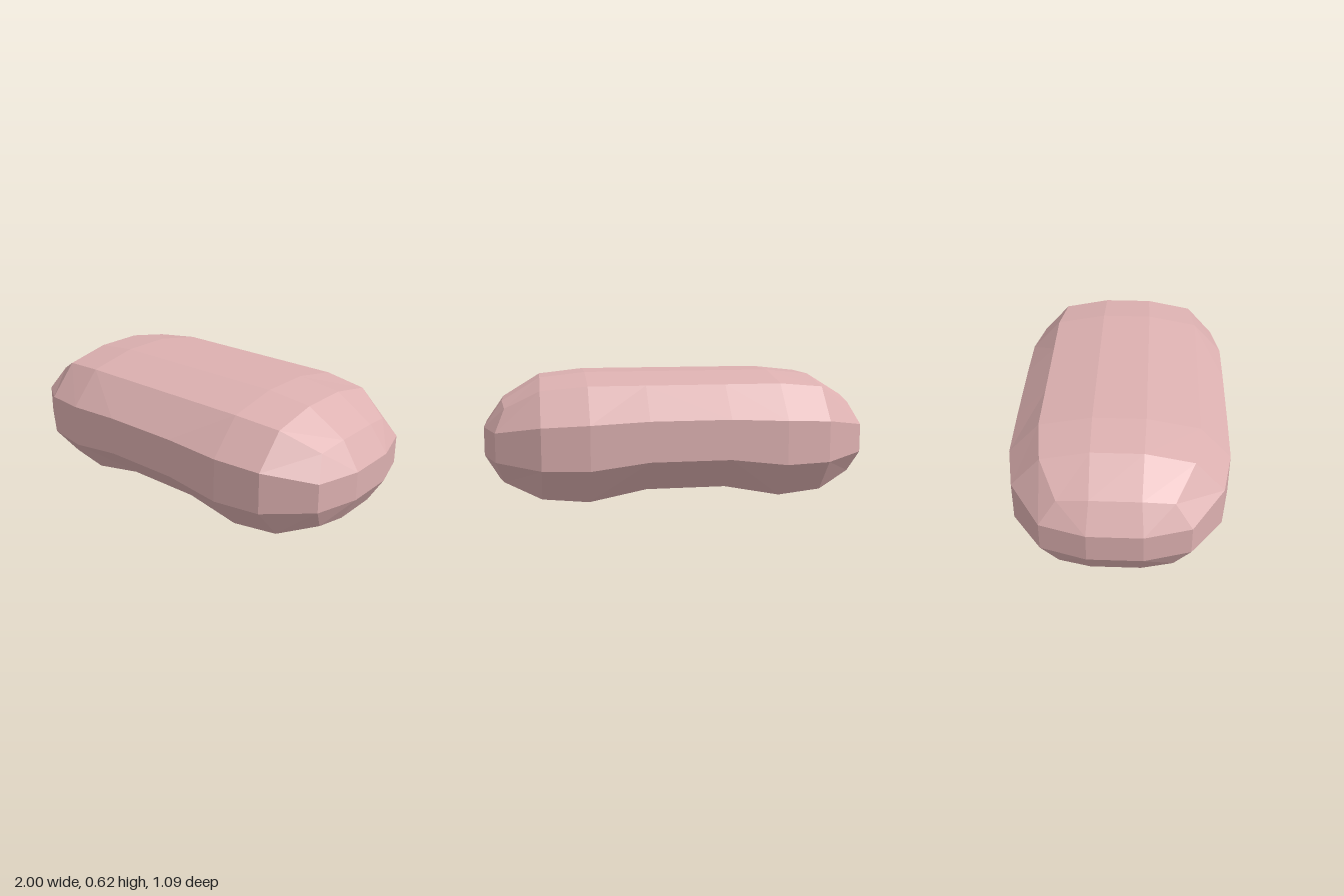
import * as THREE from 'three';

// Half cross-sections from the middle outwards; each lists [x, y, z] from
// crown, shoulder, upper side, lower side, lower edge to underside.
const SECTIONS = [
  [[0.2, 0.625, 0.13], [0.2, 0.575, 0.39], [0.2, 0.418, 0.545], [0.2, 0.22, 0.545], [0.2, 0.055, 0.39], [0.2, 0.055, 0.13]],
  [[0.485, 0.625, 0.13], [0.485, 0.575, 0.39], [0.485, 0.405, 0.545], [0.485, 0.185, 0.545], [0.485, 0, 0.39], [0.485, 0, 0.13]],
  [[0.715, 0.6, 0.125], [0.715, 0.553, 0.36], [0.715, 0.392, 0.503], [0.715, 0.185, 0.503], [0.715, 0.016, 0.36], [0.715, 0.016, 0.125]],
  [[0.908, 0.482, 0.12], [0.89, 0.46, 0.27], [0.935, 0.35, 0.35], [0.935, 0.205, 0.35], [0.9, 0.09, 0.27], [0.925, 0.078, 0.12]],
  // End face: the ring narrows to four corners
  [[1, 0.35, 0.13], [1, 0.35, 0.13], [1, 0.35, 0.13], [1, 0.205, 0.13], [1, 0.205, 0.13], [1, 0.205, 0.13]],
];

// Full closed ring on the left (+1) or right (-1) side
function ring(section, side) {
  const front = section.map(([x, y, z]) => new THREE.Vector3(x * side, y, z));
  const back = section.map(([x, y, z]) => new THREE.Vector3(x * side, y, -z)).reverse();
  return [...front, ...back];
}

function loft(rings) {
  const positions = [];
  const triangle = (a, b, c) => {
    if (a.equals(b) || b.equals(c) || c.equals(a)) return; // collapsed corner
    for (const p of [a, b, c]) positions.push(p.x, p.y, p.z);
  };
  const quad = (a, b, c, d) => {
    triangle(a, b, c);
    triangle(a, c, d);
  };

  // Skin between neighbouring rings
  for (let s = 0; s < rings.length - 1; s++) {
    const r = rings[s], next = rings[s + 1], n = r.length;
    for (let i = 0; i < n; i++) {
      const j = (i + 1) % n;
      // Mirror the diagonal so both ends match
      if (s < rings.length / 2) quad(r[i], r[j], next[j], next[i]);
      else quad(r[j], next[j], next[i], r[i]);
    }
  }

  // Flat end faces
  const first = rings[0], last = rings[rings.length - 1];
  quad(last[0], last[5], last[6], last[11]);
  quad(first[11], first[6], first[5], first[0]);

  const geometry = new THREE.BufferGeometry();
  geometry.setAttribute('position', new THREE.Float32BufferAttribute(positions, 3));
  geometry.computeVertexNormals();
  return geometry;
}

export function createModel() {
  const group = new THREE.Group();
  group.name = 'roundedBody';

  const rings = [
    ...SECTIONS.slice().reverse().map((s) => ring(s, -1)),
    ...SECTIONS.map((s) => ring(s, 1)),
  ];
  const material = new THREE.MeshStandardMaterial({ color: 0xdcb0b0, flatShading: true });
  const body = new THREE.Mesh(loft(rings), material);
  body.name = 'body';
  group.add(body);
  return group;
}
